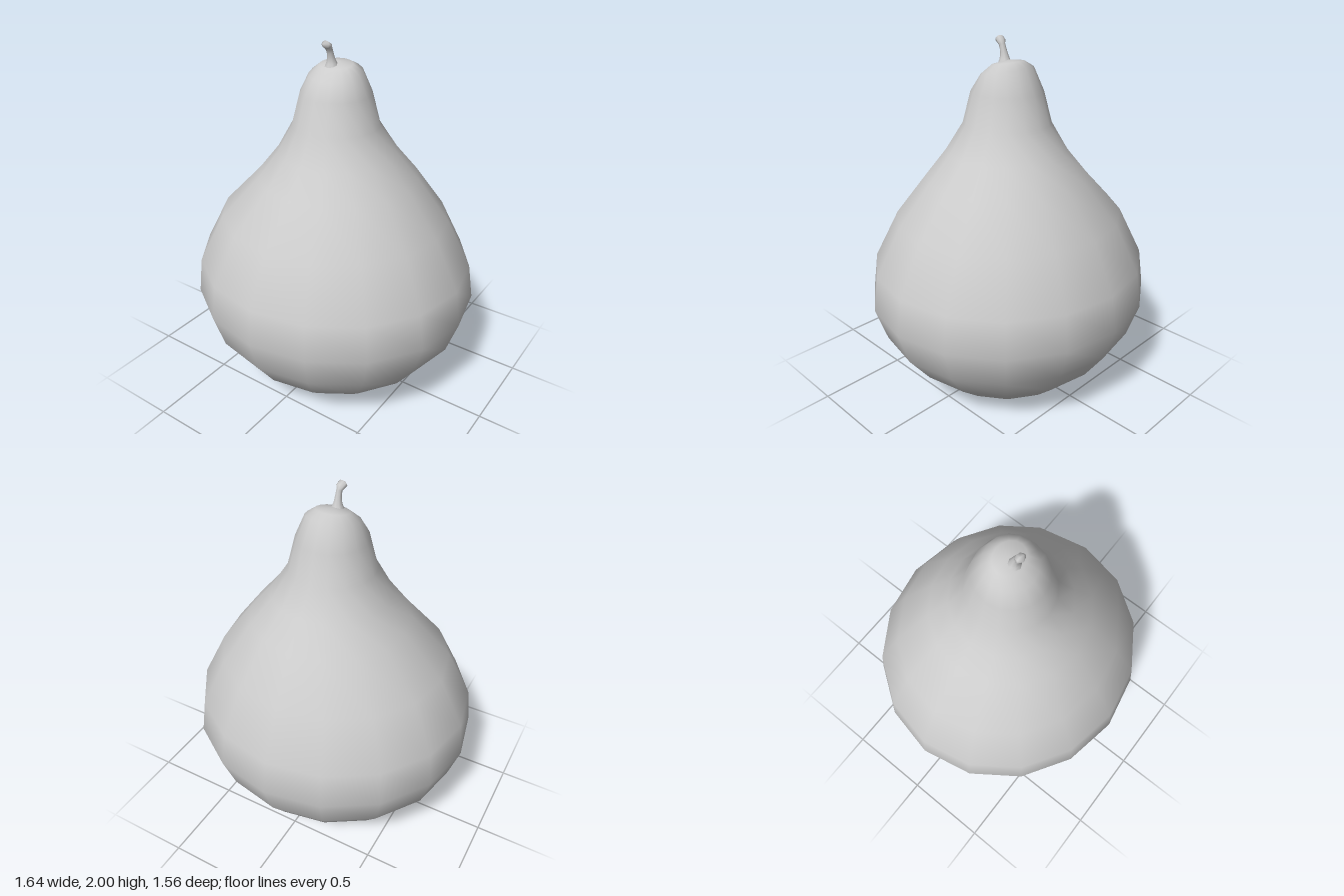
import * as THREE from 'three';
import { mergeVertices } from 'three/addons/utils/BufferGeometryUtils.js';

// Weld the seams so the shading runs smoothly all round
function weld(geometry) {
  geometry.deleteAttribute('uv');
  geometry.deleteAttribute('normal');
  const welded = mergeVertices(geometry, 1e-4);
  welded.computeVertexNormals();
  return welded;
}

// Slightly lopsided fruit: rings of [y, left x, right x, back z, front z, tilt]
function createFruit() {
  const rings = [
    [0, 0, 0, 0, 0, 0],
    [0, -0.3, 0.3, -0.3, 0.3, 0],
    [0.05, -0.46, 0.46, -0.44, 0.445, 0],
    [0.2, -0.63, 0.63, -0.6, 0.605, 0],
    [0.365, -0.76, 0.755, -0.715, 0.72, 0],
    [0.56, -0.82, 0.82, -0.78, 0.78, 0],
    [0.76, -0.795, 0.79, -0.75, 0.755, 0],
    [1.03, -0.655, 0.65, -0.62, 0.62, 0],
    [1.26, -0.43, 0.47, -0.45, 0.44, 0],
    [1.4, -0.315, 0.35, -0.335, 0.335, 0],
    [1.55, -0.23, 0.25, -0.24, 0.245, 0],
    [1.72, -0.185, 0.205, -0.195, 0.2, 0],
    [1.83, -0.138, 0.155, -0.13, 0.138, -0.2],
    [1.87, -0.085, 0.1, -0.08, 0.075, -0.15],
    [1.885, 0, 0, -0.01, -0.01, 0],
  ];
  const geometry = new THREE.LatheGeometry(rings.map((r) => new THREE.Vector2(1, r[0])), 16);
  const position = geometry.attributes.position;
  for (let i = 0; i < position.count; i++) {
    const [y, left, right, back, front, tilt] = rings[i % rings.length];
    const x = (left + right) / 2 + position.getX(i) * (right - left) / 2;
    const z = (back + front) / 2 + position.getZ(i) * (front - back) / 2;
    position.setXYZ(i, x, y + tilt * z, z);
  }
  return weld(geometry);
}

// Curved stem: a tube whose rings are rescaled about its path
function createStem() {
  const path = new THREE.CatmullRomCurve3([
    new THREE.Vector3(0, 1.845, 0.028),
    new THREE.Vector3(0, 1.9, 0.034),
    new THREE.Vector3(0, 1.955, 0.05),
    new THREE.Vector3(-0.004, 1.978, 0.065),
    new THREE.Vector3(-0.012, 1.985, 0.092),
  ]);
  const radii = [0.048, 0.037, 0.028, 0.022, 0.019, 0.017, 0.017, 0.019, 0.02, 0];
  const steps = radii.length - 1;
  const sides = 8;
  const geometry = new THREE.TubeGeometry(path, steps, 1, sides);
  const position = geometry.attributes.position;
  const point = new THREE.Vector3();
  for (let i = 0; i < position.count; i++) {
    const ring = Math.floor(i / (sides + 1));
    // The last ring closes the blunt tip
    const centre = path.getPointAt(ring / steps);
    point.fromBufferAttribute(position, i).sub(centre).multiplyScalar(radii[ring]);
    point.x *= ring > 6 ? 1.4 : 1;
    point.add(centre);
    position.setXYZ(i, point.x, point.y, point.z);
  }
  return weld(geometry);
}

export function createModel() {
  const group = new THREE.Group();
  group.name = 'pear';
  const material = new THREE.MeshStandardMaterial({ color: 0xcccccc });
  const parts = { fruit: createFruit(), stem: createStem() };
  for (const [name, geometry] of Object.entries(parts)) {
    const mesh = new THREE.Mesh(geometry, material);
    mesh.name = name;
    group.add(mesh);
  }
  return group;
}
